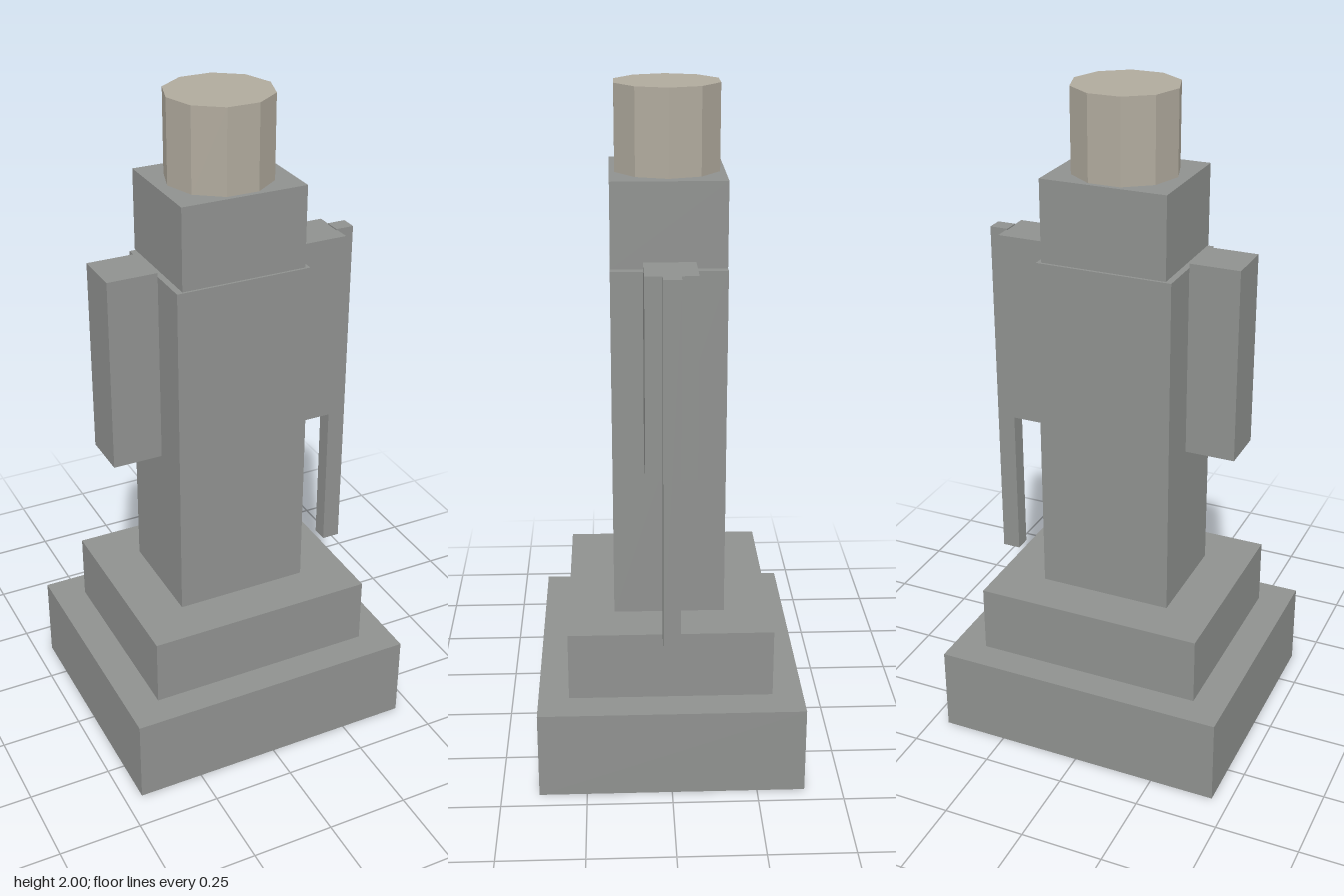
import * as THREE from 'three';

export function createModel() {
  const model = new THREE.Group();
  model.name = 'statue';

  const stone = new THREE.MeshStandardMaterial({ name: 'grey stone', color: 0x8f918f });
  const paleStone = new THREE.MeshStandardMaterial({ name: 'pale stone', color: 0xb0aa9d });
  paleStone.flatShading = true;

  // Block given by its centre x, bottom and top heights, width and depth
  const block = (name, x, y0, y1, width, depth) => {
    const mesh = new THREE.Mesh(new THREE.BoxGeometry(width, y1 - y0, depth), stone);
    mesh.name = name;
    mesh.position.set(x, (y0 + y1) / 2, 0);
    model.add(mesh);
  };

  // Stepped pedestal
  block('pedestalBase', 0, 0, 0.264, 0.894, 0.78);
  block('pedestalStep', 0, 0.264, 0.47, 0.696, 0.6);

  // Body and chest
  block('body', 0, 0.47, 1.512, 0.408, 0.327);
  block('chest', 0, 1.515, 1.757, 0.376, 0.325);

  // Arms standing free of the body
  for (const [name, side] of [['leftArm', 1], ['rightArm', -1]]) {
    block(name, side * 0.295, 0.962, 1.542, 0.149, 0.146);
  }

  // Staff at the left arm
  block('staff', 0.393, 0.466, 1.546, 0.055, 0.05);

  // Ten-sided head with a corner on each side
  const head = new THREE.Mesh(new THREE.CylinderGeometry(0.155, 0.155, 0.243, 10), paleStone);
  head.name = 'head';
  head.position.y = 1.8785;
  head.rotation.y = Math.PI / 2;
  model.add(head);

  return model;
}
